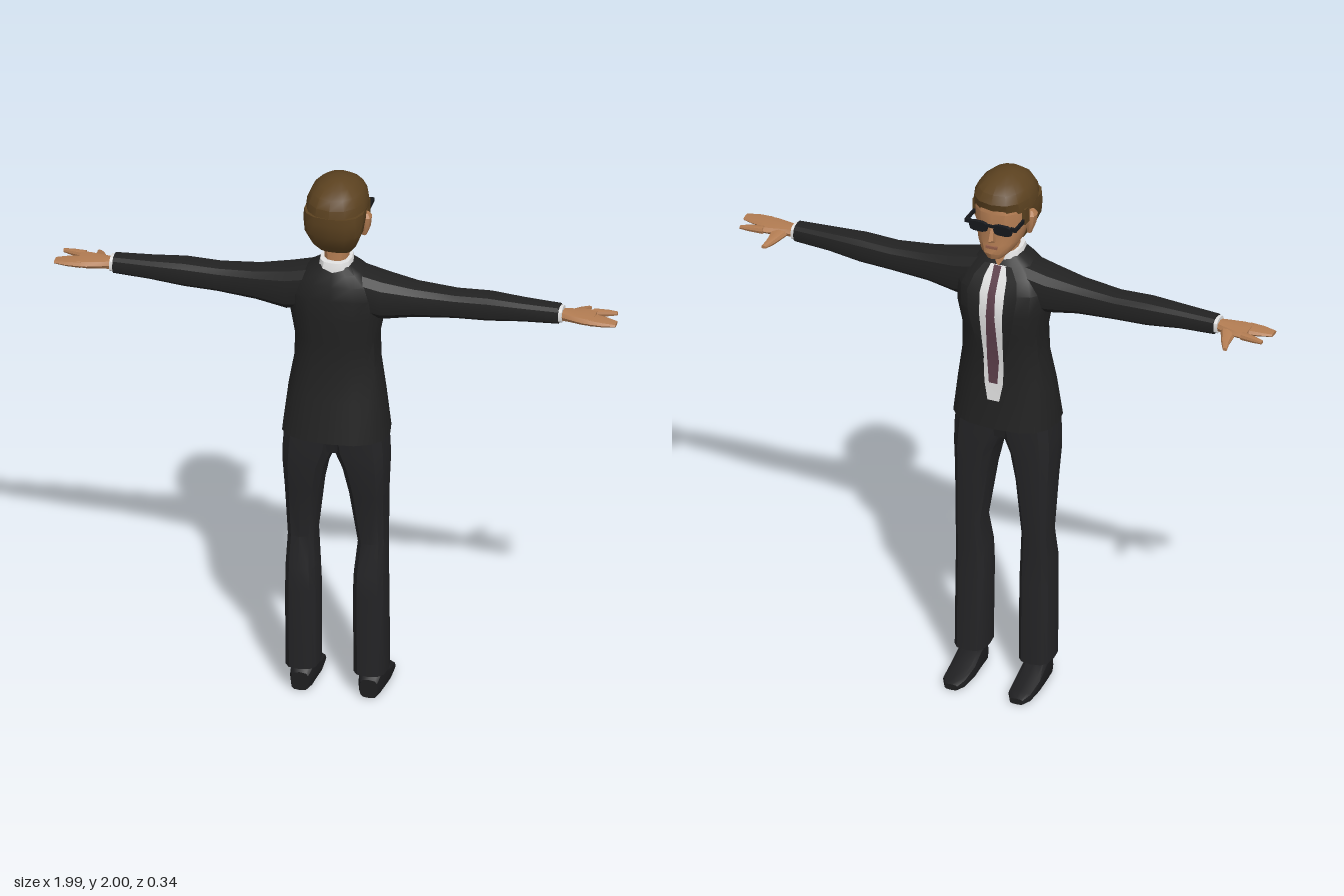
import * as THREE from 'three';
import { toCreasedNormals } from 'three/addons/utils/BufferGeometryUtils.js';

const mat = (name, color) => new THREE.MeshStandardMaterial({ name, color });

// Capped loft along an axis. Each ring is [t, a0, a1, b0, b1]: the position on the
// axis and the extents on the two other axes (x: y,z   y: z,x   z: x,y).
function loft(axis, rings, n = 12, power = 0.78) {
  const T = 'xyz'.indexOf(axis), A = (T + 1) % 3, B = (T + 2) % 3;
  const pos = [], idx = [];
  const push = (t, a, b) => { const p = []; p[T] = t; p[A] = a; p[B] = b; pos.push(...p); };
  const round = v => Math.sign(v) * Math.pow(Math.abs(v) < 1e-9 ? 0 : Math.abs(v), power);
  for (const [t, a0, a1, b0, b1] of rings) {
    for (let j = 0; j < n; j++) {
      const u = j / n * Math.PI * 2;
      push(t, (a0 + a1) / 2 + (a1 - a0) / 2 * round(Math.cos(u)),
        (b0 + b1) / 2 + (b1 - b0) / 2 * round(Math.sin(u)));
    }
  }
  const last = (rings.length - 1) * n, c0 = rings.length * n;
  for (const [t, a0, a1, b0, b1] of [rings[0], rings[rings.length - 1]]) push(t, (a0 + a1) / 2, (b0 + b1) / 2);
  for (let j = 0; j < n; j++) {
    const k = (j + 1) % n;
    for (let i = 0; i < last; i += n) idx.push(i + j, i + k, i + n + k, i + j, i + n + k, i + n + j);
    idx.push(c0, k, j, c0 + 1, last + j, last + k);
  }
  return build(pos, idx);
}

// Thin panel facing -z; rows [y, x0, x1, z] run downwards.
function panel(rows, lift) {
  const pos = [], idx = [];
  rows.forEach(([y, x0, x1, z], i) => {
    pos.push(x0, y, z - lift, x1, y, z - lift);
    const a = i * 2;
    if (i < rows.length - 1) idx.push(a, a + 1, a + 2, a + 1, a + 3, a + 2);
  });
  return build(pos, idx);
}

function build(pos, idx) {
  const g = new THREE.BufferGeometry();
  g.setAttribute('position', new THREE.Float32BufferAttribute(pos, 3));
  g.setIndex(idx);
  return g;
}

function box(w, h, d, x, y, z) {
  return new THREE.BoxGeometry(w, h, d).translate(x, y, z);
}

// Mirrored copy across x with the face order restored.
function mirror(g) {
  const m = g.clone().scale(-1, 1, 1), ix = m.index;
  for (let i = 0; i < ix.count; i += 3) {
    const t = ix.getX(i + 1);
    ix.setX(i + 1, ix.getX(i + 2));
    ix.setX(i + 2, t);
  }
  return m;
}

export function createModel() {
  const model = new THREE.Group();
  model.name = 'suitedMan';
  const suit = mat('suit black', 0x222222), trouser = mat('trouser black', 0x242426);
  const leather = mat('shoe black', 0x1e1e20), skin = mat('skin', 0xb27c52);
  const hair = mat('brown hair', 0x5c4220), white = mat('shirt white', 0xe2e2e2);
  const tie = mat('plum tie', 0x5e404c), glass = mat('glasses black', 0x16181c);
  const lip = mat('lips', 0x96604a);

  const add = (name, g, m) => {
    const mesh = new THREE.Mesh(toCreasedNormals(g, 0.55), m);
    mesh.name = name;
    model.add(mesh);
  };
  const pair = (name, g, m) => {
    add('left' + name, g, m);
    add('right' + name, mirror(g), m);
  };

  // Jacket body: [y, front z, back z, half width]
  const body = [
    [1.03, -0.10, 0.17, 0.19], [1.18, -0.085, 0.145, 0.172], [1.30, -0.085, 0.125, 0.152],
    [1.40, -0.10, 0.13, 0.148], [1.49, -0.112, 0.135, 0.165], [1.57, -0.10, 0.135, 0.17],
    [1.62, -0.07, 0.125, 0.145], [1.66, -0.045, 0.11, 0.10], [1.685, -0.03, 0.10, 0.06],
  ];
  add('jacketBody', loft('y', body.map(([y, f, b, w]) => [y, f, b, -w, w]), 16), suit);

  // Shirt front, tie and lapels follow the chest: [y, front z, shirt half width, tie half width]
  const chest = [
    [1.66, -0.045, 0.03, 0.014], [1.62, -0.07, 0.044, 0.013], [1.57, -0.10, 0.048, 0.014],
    [1.49, -0.112, 0.045, 0.016], [1.40, -0.10, 0.042, 0.019], [1.30, -0.085, 0.038, 0.022],
    [1.21, -0.085, 0.035, 0.016], [1.14, -0.089, 0.022, 0],
  ];
  add('shirtFront', panel(chest.map(([y, z, w]) => [y, -w, w, z]), 0.004), white);
  add('tie', panel(chest.slice(0, 7).map(([y, z, , w]) => [y, -w, w, z]), 0.009), tie);
  pair('Lapel', panel(chest.slice(0, 6).map(([y, z, w], i) =>
    [y, w - 0.002, w + [0.02, 0.035, 0.045, 0.04, 0.025, 0.005][i], z]), 0.005), suit);

  // Sleeves, cuffs
  pair('Sleeve', loft('x', [
    [0.08, 1.50, 1.665, -0.055, 0.11], [0.17, 1.485, 1.643, -0.05, 0.105],
    [0.28, 1.503, 1.622, -0.035, 0.088], [0.42, 1.513, 1.61, -0.03, 0.075],
    [0.54, 1.518, 1.614, -0.03, 0.076], [0.66, 1.53, 1.607, -0.018, 0.07],
    [0.79, 1.535, 1.602, -0.01, 0.062],
  ]), suit);
  pair('Cuff', loft('x', [[0.77, 1.54, 1.597, -0.005, 0.058], [0.802, 1.54, 1.597, -0.005, 0.058]]), white);

  // Hands
  pair('Palm', loft('x', [
    [0.79, 1.547, 1.586, 0.004, 0.05], [0.83, 1.55, 1.584, -0.008, 0.062],
    [0.88, 1.55, 1.582, -0.022, 0.076], [0.915, 1.553, 1.58, -0.025, 0.078],
  ], 8), skin);
  pair('Fingers', loft('x', [
    [0.90, 1.552, 1.58, 0.006, 0.078], [0.95, 1.555, 1.576, 0.015, 0.079], [0.995, 1.558, 1.57, 0.03, 0.07],
  ], 8), skin);
  pair('IndexFinger', loft('x', [
    [0.90, 1.553, 1.58, -0.026, 0.006], [0.95, 1.556, 1.577, -0.031, -0.006], [0.982, 1.56, 1.572, -0.032, -0.016],
  ], 8), skin);
  pair('Thumb', loft('z', [
    [-0.085, 0.86, 0.877, 1.538, 1.55], [-0.055, 0.842, 0.872, 1.538, 1.562], [0, 0.815, 0.875, 1.548, 1.578],
  ], 8), skin);

  // Trousers
  pair('TrouserLeg', loft('y', [
    [0.095, -0.055, 0.095, 0.062, 0.18], [0.40, -0.047, 0.10, 0.06, 0.18],
    [0.49, -0.046, 0.10, 0.064, 0.178], [0.60, -0.052, 0.072, 0.073, 0.175],
    [0.80, -0.056, 0.11, 0.048, 0.18], [0.90, -0.057, 0.125, 0.026, 0.186],
    [0.97, -0.057, 0.13, -0.005, 0.187], [1.06, -0.055, 0.13, -0.02, 0.18],
  ], 12, 0.7), trouser);
  add('trouserSeat', loft('y', [[0.965, -0.04, 0.11, -0.06, 0.06], [1.06, -0.057, 0.13, -0.15, 0.15]], 12, 0.6), trouser);

  // Ankles and shoes
  pair('Ankle', loft('y', [[0.06, 0.005, 0.062, 0.092, 0.15], [0.13, 0.005, 0.062, 0.092, 0.15]], 8), skin);
  pair('Shoe', loft('z', [
    [-0.175, 0.098, 0.148, 0, 0.022], [-0.145, 0.08, 0.166, 0, 0.036], [-0.07, 0.074, 0.17, 0, 0.056],
    [-0.01, 0.076, 0.168, 0, 0.09], [0.05, 0.08, 0.162, 0, 0.092], [0.072, 0.09, 0.154, 0, 0.07],
  ], 12, 0.6), leather);

  // Neck and collar
  add('neck', loft('y', [[1.62, -0.03, 0.085, -0.046, 0.046], [1.70, -0.028, 0.078, -0.042, 0.042], [1.79, -0.04, 0.075, -0.045, 0.045]]), skin);
  add('collar', loft('y', [[1.635, -0.045, 0.108, -0.066, 0.066], [1.68, -0.036, 0.106, -0.06, 0.06], [1.702, -0.03, 0.10, -0.055, 0.055]]), white);
  add('openCollar', panel([[1.704, -0.024, 0.024, -0.03], [1.68, -0.016, 0.016, -0.038], [1.66, -0.004, 0.004, -0.045]], 0.006), skin);

  // Head
  add('face', loft('y', [
    [1.712, -0.105, -0.03, -0.03, 0.03], [1.735, -0.114, 0.03, -0.056, 0.056], [1.77, -0.107, 0.06, -0.077, 0.077],
    [1.82, -0.105, 0.10, -0.09, 0.09], [1.89, -0.108, 0.11, -0.096, 0.096], [1.93, -0.095, 0.10, -0.085, 0.085],
  ], 14, 0.88), skin);
  add('nose', loft('y', [
    [1.783, -0.115, -0.09, -0.015, 0.015], [1.795, -0.135, -0.09, -0.015, 0.015], [1.85, -0.11, -0.09, -0.007, 0.007],
  ], 6, 1), skin);
  add('lips', box(0.042, 0.01, 0.008, 0, 1.76, -0.108), lip);
  pair('Ear', loft('y', [
    [1.782, 0, 0.018, 0.084, 0.10], [1.82, -0.012, 0.03, 0.086, 0.115], [1.855, -0.012, 0.034, 0.088, 0.119], [1.87, 0, 0.024, 0.09, 0.11],
  ], 8), skin);

  // Hair: swept back of the head plus the crown, with sideburns
  add('backHair', loft('y', [
    [1.735, 0.02, 0.08, -0.056, 0.056], [1.77, 0.015, 0.115, -0.08, 0.08], [1.82, 0.012, 0.14, -0.101, 0.101],
    [1.87, -0.02, 0.15, -0.107, 0.107], [1.90, -0.04, 0.15, -0.106, 0.106],
  ], 14), hair);
  add('crownHair', loft('y', [
    [1.888, -0.10, 0.15, -0.107, 0.107], [1.93, -0.112, 0.146, -0.103, 0.103], [1.96, -0.096, 0.128, -0.088, 0.088],
    [1.985, -0.06, 0.095, -0.06, 0.06], [2.0, -0.01, 0.05, -0.025, 0.025],
  ], 14, 0.88), hair);
  pair('Sideburn', box(0.014, 0.06, 0.035, 0.093, 1.868, -0.026), hair);

  // Glasses
  pair('Lens', loft('z', [[-0.122, 0.012, 0.078, 1.822, 1.86], [-0.112, 0.01, 0.082, 1.82, 1.862]], 10, 0.6), glass);
  pair('Temple', box(0.008, 0.014, 0.125, 0.093, 1.852, -0.056), glass);
  pair('Hinge', box(0.022, 0.014, 0.01, 0.086, 1.852, -0.114), glass);
  add('bridge', box(0.03, 0.008, 0.01, 0, 1.85, -0.118), glass);

  return model;
}
